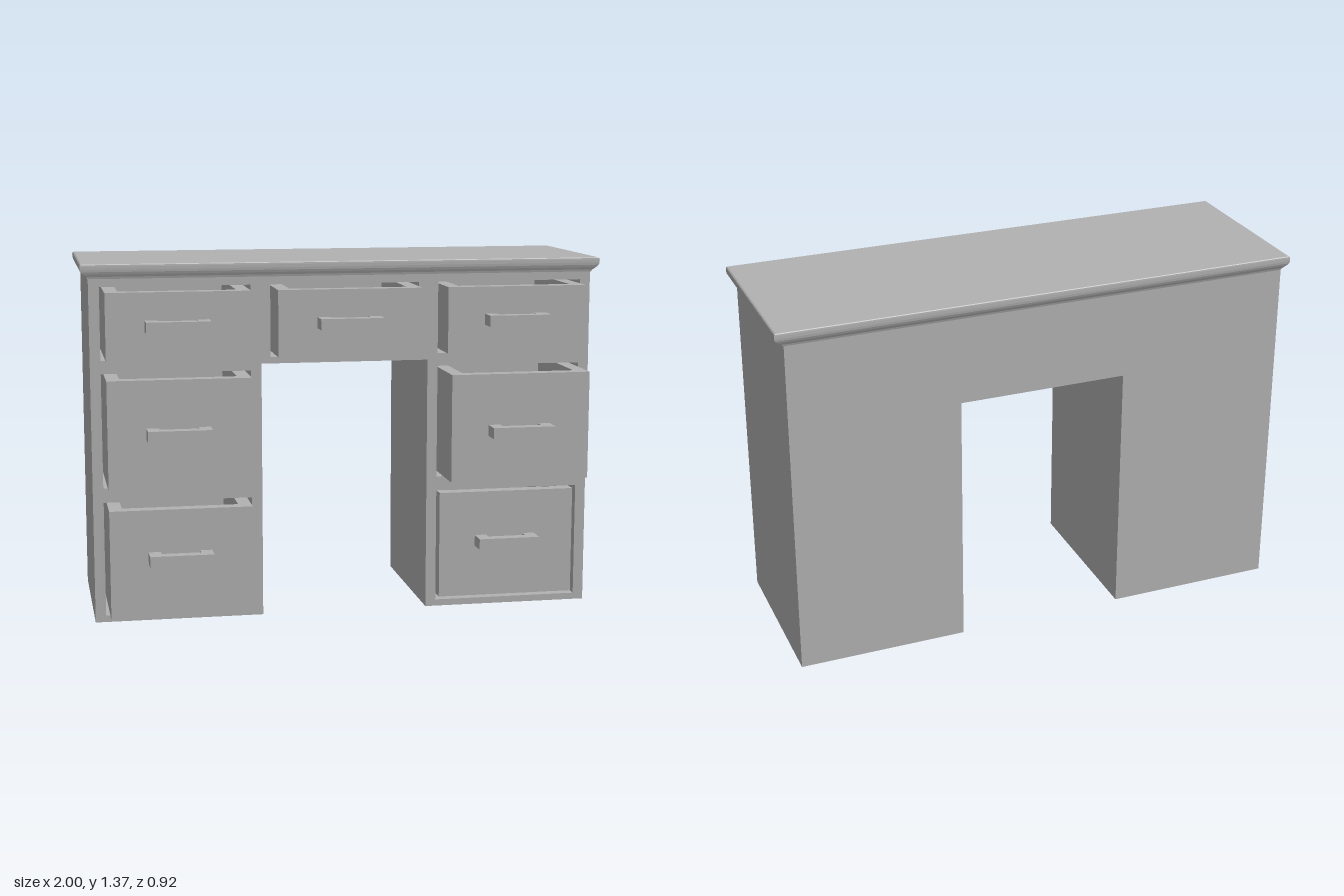
import * as THREE from 'three';

const FRONT = 0.205, BACK = -0.45, BODY_TOP = 1.31;
// drawer columns (x ranges) and rows (y ranges) of the openings in the carcass
const COLS = { right: [-0.93, -0.365], centre: [-0.29, 0.285], left: [0.36, 0.925] };
const ROWS = { upper: [1.005, 1.28], middle: [0.52, 0.955], lower: [0.025, 0.465] };
// column, row, front face z, handle height
const DRAWERS = [
  ['right', 'upper', 0.313, 1.144], ['centre', 'upper', 0.313, 1.144], ['left', 'upper', 0.313, 1.144],
  ['right', 'middle', 0.313, 0.742], ['left', 'middle', 0.385, 0.728],
  ['right', 'lower', 0.313, 0.271], ['left', 'lower', 0.205, 0.258],
];

function createModel() {
  const desk = new THREE.Group();
  desk.name = 'desk';
  const grey = new THREE.MeshStandardMaterial({ color: 0xb2b2b2 });
  grey.name = 'plain grey';

  const add = (parent, name, geometry) => {
    const mesh = new THREE.Mesh(geometry, grey);
    mesh.name = name;
    parent.add(mesh);
    return mesh;
  };
  // box given by its min and max on each axis
  const box = (parent, name, [x0, x1], [y0, y1], [z0, z1]) =>
    add(parent, name, new THREE.BoxGeometry(x1 - x0, y1 - y0, z1 - z0))
      .position.set((x0 + x1) / 2, (y0 + y1) / 2, (z0 + z1) / 2);

  // carcass: arch-shaped outline with a kneehole, pierced by the drawer openings
  const outline = () => new THREE.Shape([
    [-0.97, 0], [-0.325, 0], [-0.325, 0.98], [0.32, 0.98], [0.32, 0], [0.965, 0],
    [0.965, BODY_TOP], [-0.97, BODY_TOP],
  ].map(([x, y]) => new THREE.Vector2(x, y)));
  const extrude = (shape, z0, z1) => new THREE.ExtrudeGeometry(shape,
    { depth: z1 - z0, bevelEnabled: false }).translate(0, 0, z0);
  const pierced = outline();
  for (const [col, row] of DRAWERS) {
    const [x0, x1] = COLS[col], [y0, y1] = ROWS[row];
    pierced.holes.push(new THREE.Path([
      new THREE.Vector2(x0, y0), new THREE.Vector2(x0, y1),
      new THREE.Vector2(x1, y1), new THREE.Vector2(x1, y0),
    ]));
  }
  add(desk, 'carcass', extrude(pierced, BACK + 0.05, FRONT));
  add(desk, 'backPanel', extrude(outline(), BACK, BACK + 0.05));

  // desktop with a moulded edge: rectangular rings of varying overhang
  const rings = [[1.31, 0], [1.318, 0.2], [1.327, 0.6], [1.336, 0.9], [1.345, 1], [1.356, 1], [1.362, 0.95], [1.365, 0.8]]
    .map(([y, t]) => {
      const x = 0.968 + 0.032 * t, z0 = BACK - 0.013 * t, z1 = FRONT + 0.01 * t;
      return [[-x, y, z1], [x, y, z1], [x, y, z0], [-x, y, z0]];
    });
  const pos = [];
  const quad = (a, b, c, d) => pos.push(...a, ...b, ...c, ...a, ...c, ...d);
  for (let i = 0; i + 1 < rings.length; i++) {
    for (let k = 0; k < 4; k++) {
      const n = (k + 1) % 4;
      quad(rings[i][k], rings[i][n], rings[i + 1][n], rings[i + 1][k]);
    }
  }
  const last = rings[rings.length - 1];
  quad(...last);
  quad(...[...rings[0]].reverse());
  const top = new THREE.BufferGeometry();
  top.setAttribute('position', new THREE.Float32BufferAttribute(pos, 3));
  top.computeVertexNormals();
  add(desk, 'desktop', top);

  // open-topped drawers, pulled out by different amounts
  for (const [col, row, z, handleY] of DRAWERS) {
    const drawer = new THREE.Group();
    drawer.name = `${col}${row[0].toUpperCase()}${row.slice(1)}Drawer`;
    desk.add(drawer);
    const wall = 0.05, back = z - 0.56;
    const x0 = COLS[col][0] + 0.014, x1 = COLS[col][1] - 0.012;
    const y0 = ROWS[row][0] + 0.011, y1 = ROWS[row][1] - 0.012;
    box(drawer, 'drawerFront', [x0, x1], [y0, y1], [z - wall, z]);
    box(drawer, 'drawerBack', [x0, x1], [y0, y1], [back, back + wall]);
    box(drawer, 'drawerSide', [x0, x0 + wall], [y0, y1], [back + wall, z - wall]);
    box(drawer, 'drawerSide', [x1 - wall, x1], [y0, y1], [back + wall, z - wall]);
    box(drawer, 'drawerFloor', [x0 + wall, x1 - wall], [y0, y0 + wall], [back + wall, z - wall]);

    // bar handle on two posts that pass through the front
    const cx = (x0 + x1) / 2 - 0.006, hy = [handleY - 0.021, handleY + 0.021];
    box(drawer, 'handleBar', [cx - 0.12, cx + 0.12], hy, [z + 0.033, z + 0.076]);
    box(drawer, 'handlePost', [cx - 0.12, cx - 0.074], hy, [z - 0.065, z + 0.033]);
    box(drawer, 'handlePost', [cx + 0.074, cx + 0.12], hy, [z - 0.065, z + 0.033]);
  }
  return desk;
}

export { createModel };
